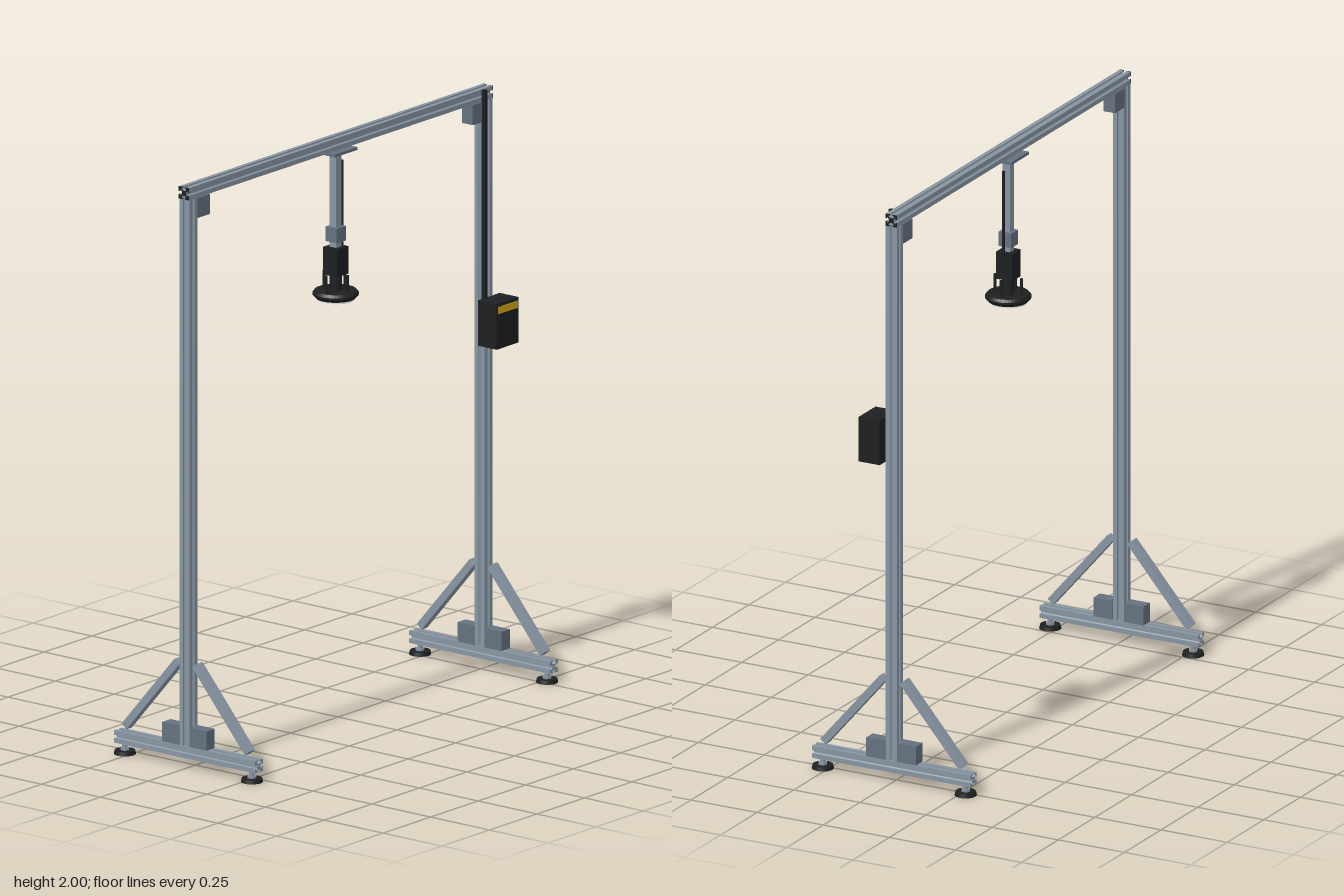
import * as THREE from 'three';

const material = (color) => new THREE.MeshStandardMaterial({ color });
const aluminium = material(0x8795a2);
const bracketGrey = material(0x647180);
const black = material(0x1d1f21);
const yellow = material(0xd6a514);
const white = material(0xe8e8e4);

const S = 0.042; // profile width
const POSTS = { left: 0.765, right: -0.787 };

function add(parent, name, geometry, mat, x = 0, y = 0, z = 0) {
  const mesh = new THREE.Mesh(geometry, mat);
  mesh.name = name;
  mesh.position.set(x, y, z);
  parent.add(mesh);
  return mesh;
}

const box = (w, h, d) => new THREE.BoxGeometry(w, h, d);
const cylinder = (rTop, rBottom, h, n = 24) => new THREE.CylinderGeometry(rTop, rBottom, h, n);

// Square section with a T-shaped slot in every side
function slotShape(size) {
  const h = size / 2;
  const side = [[-h, h], [-0.0055, h], [-0.0055, h - 0.004], [-0.011, h - 0.004],
    [-0.011, h - 0.007], [-0.005, h - 0.013], [0.005, h - 0.013], [0.011, h - 0.007],
    [0.011, h - 0.004], [0.0055, h - 0.004], [0.0055, h]];
  const points = [];
  for (let i = 0; i < 4; i++) {
    const a = -i * Math.PI / 2;
    for (const [x, y] of side) {
      points.push(new THREE.Vector2(x * Math.cos(a) - y * Math.sin(a), x * Math.sin(a) + y * Math.cos(a)));
    }
  }
  return new THREE.Shape(points);
}

// Slotted bar centred on the origin, running along z
function slottedBar(length, bore = true) {
  const shape = slotShape(S);
  if (bore) shape.holes.push(new THREE.Path().absarc(0, 0, 0.0035, 0, Math.PI * 2, true));
  const geometry = new THREE.ExtrudeGeometry(shape, { depth: length, bevelEnabled: false, curveSegments: 6 });
  return geometry.translate(0, 0, -length / 2);
}

// Upright with its foot bar, braces, brackets and levelling feet
function buildLeg(name, x) {
  const leg = new THREE.Group();
  leg.name = name;
  leg.position.x = x;
  add(leg, 'post', slottedBar(1.88).rotateX(Math.PI / 2), aluminium, 0, 1.019, 0);
  add(leg, 'footBar', slottedBar(0.6), aluminium, 0, 0.058, 0);

  for (const s of [1, -1]) {
    add(leg, 'baseBracket', box(0.044, 0.066, 0.072), bracketGrey, 0, 0.112, s * 0.058);

    // Diagonal brace from the foot bar up to the post
    const low = new THREE.Vector3(0, 0.098, s * 0.262);
    const high = new THREE.Vector3(0, 0.36, s * 0.038);
    const direction = high.clone().sub(low);
    const brace = add(leg, 'diagonalBrace', box(0.03, direction.length(), 0.026), aluminium);
    brace.position.copy(low).add(high).multiplyScalar(0.5);
    brace.quaternion.setFromUnitVectors(new THREE.Vector3(0, 1, 0), direction.normalize());

    add(leg, 'levellingPad', cylinder(0.034, 0.037, 0.013), black, 0, 0.0065, s * 0.27);
    add(leg, 'levellingNut', cylinder(0.016, 0.016, 0.008, 6), aluminium, 0, 0.017, s * 0.27);
    add(leg, 'levellingStem', cylinder(0.009, 0.009, 0.028, 12), aluminium, 0, 0.027, s * 0.27);
  }
  return leg;
}

// Camera and ring light hanging under the crossbeam
function buildPendant() {
  const pendant = new THREE.Group();
  pendant.name = 'pendant';
  pendant.position.x = -0.013;
  add(pendant, 'mountPlate', box(0.12, 0.01, 0.09), bracketGrey, 0, 1.952, 0);
  add(pendant, 'dropTube', box(0.028, 0.327, 0.028), aluminium, 0, 1.7835, 0);
  add(pendant, 'clamp', box(0.048, 0.05, 0.048), bracketGrey, 0, 1.665, 0);
  add(pendant, 'cameraBody', box(0.06, 0.095, 0.06), black, 0, 1.573, 0);
  add(pendant, 'lens', cylinder(0.021, 0.021, 0.065), black, 0, 1.495, 0);
  add(pendant, 'cable', cylinder(0.005, 0.005, 0.3, 10), black, 0.034, 1.76, 0);

  // Ring light housing with an open centre
  const profile = [[0.032, 1.445], [0.066, 1.445], [0.077, 1.457], [0.077, 1.463],
    [0.07, 1.472], [0.032, 1.472], [0.032, 1.445]].map(([r, y]) => new THREE.Vector2(r, y));
  const housing = black.clone();
  housing.flatShading = true;
  add(pendant, 'ringHousing', new THREE.LatheGeometry(profile, 40), housing);
  const diffuser = [[0.036, 1.446], [0.036, 1.439], [0.062, 1.439], [0.062, 1.446]]
    .map(([r, y]) => new THREE.Vector2(r, y));
  const diffuserMat = white.clone();
  diffuserMat.flatShading = true;
  diffuserMat.side = THREE.DoubleSide;
  add(pendant, 'ringDiffuser', new THREE.LatheGeometry(diffuser, 40), diffuserMat);

  // Standoffs and the arms that tie them to the lens
  for (let i = 0; i < 4; i++) {
    const a = i * Math.PI / 2;
    const x = 0.05 * Math.cos(a), z = 0.05 * Math.sin(a);
    add(pendant, 'standoff', cylinder(0.005, 0.005, 0.062, 10), black, x, 1.499, z);
  }
  for (const r of [0, Math.PI / 2]) {
    add(pendant, 'ringArm', box(0.1, 0.006, 0.012), black, 0, 1.472, 0).rotation.y = r;
  }
  return pendant;
}

// Control box on the left post with its cable run
function buildControlBox() {
  const control = new THREE.Group();
  control.name = 'controlBox';
  add(control, 'enclosure', box(0.116, 0.156, 0.08), black, 0.763, 1.203, 0.064);
  add(control, 'labelStrip', box(0.104, 0.024, 0.004), yellow, 0.763, 1.258, 0.104);
  add(control, 'cableRun', box(0.014, 0.72, 0.014), black, 0.736, 1.638, 0.028);
  return control;
}

export function createModel() {
  const model = new THREE.Group();
  model.name = 'gantry';
  model.add(buildLeg('leftLeg', POSTS.left), buildLeg('rightLeg', POSTS.right));

  // Crossbeam with end caps
  add(model, 'crossbeam', slottedBar(1.594).rotateY(Math.PI / 2), aluminium, -0.012, 1.979, 0);
  for (const x of [-0.8105, 0.7865]) {
    add(model, 'endCap', slottedBar(0.003, false).rotateY(Math.PI / 2), black, x, 1.979, 0);
  }

  // Corner brackets under the beam
  add(model, 'leftCornerBracket', box(0.064, 0.068, 0.044), bracketGrey, POSTS.left - 0.053, 1.922, 0);
  add(model, 'rightCornerBracket', box(0.064, 0.068, 0.044), bracketGrey, POSTS.right + 0.053, 1.922, 0);

  model.add(buildPendant(), buildControlBox());
  return model;
}
